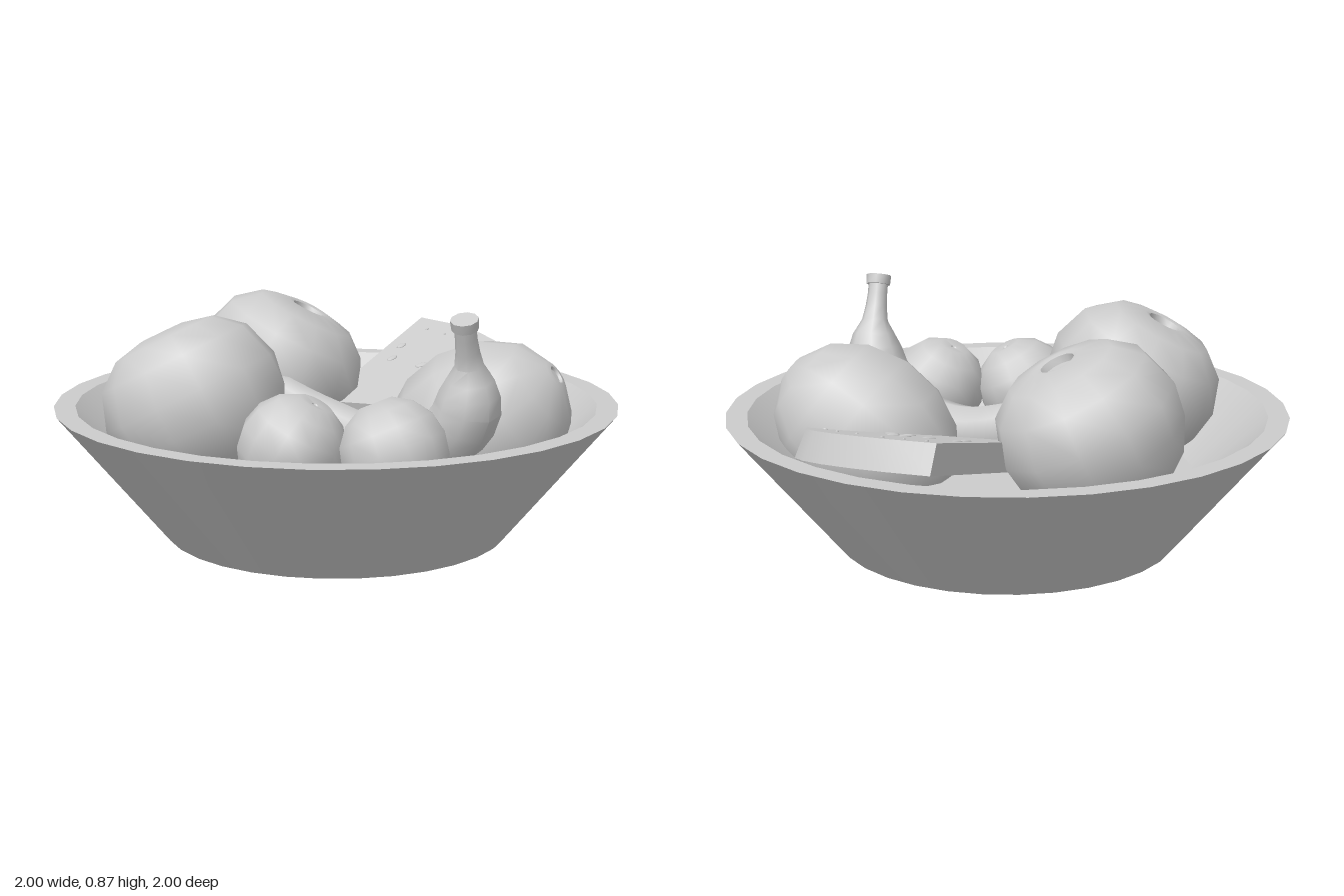
import * as THREE from 'three';
import { toCreasedNormals } from 'three/addons/utils/BufferGeometryUtils.js';

const UP = new THREE.Vector3(0, 1, 0);
const material = new THREE.MeshStandardMaterial({ color: 0xcccccc });

function part(name, geometry, crease = 0.65) {
  const mesh = new THREE.Mesh(crease ? toCreasedNormals(geometry, crease) : geometry, material);
  mesh.name = name;
  return mesh;
}

function lathe(points, sides) {
  return new THREE.LatheGeometry(points.map(([r, y]) => new THREE.Vector2(r, y)), sides);
}

// A lathed fruit of 12 sides whose core points along the axis
function fruit(name, profile, position, axis) {
  const mesh = part(name, lathe(profile, 12), 0.8);
  mesh.position.set(...position);
  mesh.quaternion.setFromUnitVectors(UP, new THREE.Vector3(...axis).normalize());
  return mesh;
}

// Profile of a ball up to the polar angle "open", then the given end
function ball(radius, length, open, end) {
  const points = [];
  const rings = 7;
  for (let i = 0; i <= rings; i++) {
    const a = Math.PI + (open - Math.PI) * (i / rings);
    points.push([Math.max(0, radius * Math.sin(a)), length * Math.cos(a)]);
  }
  const [rimR, rimY] = points[rings];
  for (const [k, dy] of end) points.push([rimR * k, rimY + dy]);
  return points;
}

// Banana: a tube whose rings are scaled by a radius that changes along its length
function banana() {
  const group = new THREE.Group();
  group.name = 'banana';
  const curve = new THREE.CatmullRomCurve3([
    [-0.3, 0.53, 0], [-0.18, 0.46, 0.02], [0, 0.38, 0.05], [0.2, 0.34, 0.13], [0.4, 0.38, 0.25],
    [0.53, 0.5, 0.315], [0.555, 0.62, 0.34], [0.555, 0.7, 0.365], [0.552, 0.77, 0.395], [0.55, 0.838, 0.42],
  ].map((p) => new THREE.Vector3(...p)));
  const radii = [[0, 0.03], [0.08, 0.08], [0.25, 0.097], [0.5, 0.1], [0.7, 0.115],
    [0.79, 0.112], [0.84, 0.085], [0.885, 0.049], [0.94, 0.037], [1, 0.037]];
  const radiusAt = (u) => {
    let i = 1;
    while (i < radii.length - 1 && u > radii[i][0]) i++;
    const [u0, r0] = radii[i - 1], [u1, r1] = radii[i];
    return r0 + (r1 - r0) * (u - u0) / (u1 - u0);
  };
  const steps = 26, sides = 8;
  const body = new THREE.TubeGeometry(curve, steps, 1, sides);
  const pos = body.attributes.position;
  const v = new THREE.Vector3();
  for (let i = 0; i <= steps; i++) {
    const c = curve.getPointAt(i / steps);
    for (let j = 0; j <= sides; j++) {
      const k = i * (sides + 1) + j;
      v.fromBufferAttribute(pos, k).sub(c).multiplyScalar(radiusAt(i / steps)).add(c);
      pos.setXYZ(k, v.x, v.y, v.z);
    }
  }
  group.add(part('bananaBody', body, 0.85));

  // Caps at the stem and the blossom end
  const tip = part('bananaStemCap', new THREE.CylinderGeometry(0.047, 0.045, 0.035, 10));
  tip.position.copy(curve.getPointAt(1));
  tip.quaternion.setFromUnitVectors(UP, curve.getTangentAt(1));
  const blossom = part('bananaBlossomEnd', new THREE.SphereGeometry(0.032, 8, 6));
  blossom.position.copy(curve.getPointAt(0));
  group.add(tip, blossom);
  return group;
}

// Melon slice: a tilted wedge with its tip at the group's origin
function melonSlice() {
  const group = new THREE.Group();
  group.name = 'melonSlice';
  const tipX = -0.12, tipZ = -0.22, tilt = 0.27;
  const radius = 0.785, from = -0.07, to = 1.3, steps = 7, thickness = 0.1;
  const shape = new THREE.Shape();
  shape.moveTo(0, 0);
  for (let i = 0; i <= steps; i++) {
    const a = from + (to - from) * i / steps;
    shape.lineTo(radius * Math.cos(a), radius * Math.sin(a));
  }
  const wedge = new THREE.ExtrudeGeometry(shape, { depth: thickness, bevelEnabled: false });
  wedge.rotateX(-Math.PI / 2).translate(0, -thickness, 0);
  // The rind flares outwards towards the underside
  const pos = wedge.attributes.position;
  for (let i = 0; i < pos.count; i++) {
    const flare = 1 - 0.4 * pos.getY(i);
    pos.setX(i, pos.getX(i) * flare);
    pos.setZ(i, pos.getZ(i) * flare);
  }
  group.add(part('melonWedge', wedge, 0.4));

  // Seeds lie on the top face and point at the tip: x, z and half length
  const seeds = [
    [0.07, -0.69, 0.026], [0.06, -0.58, 0.026], [0.19, -0.53, 0.028], [0.27, -0.54, 0.026],
    [0.32, -0.48, 0.026], [0.28, -0.41, 0.024], [0.35, -0.36, 0.026], [0.14, -0.84, 0.009],
    [0.22, -0.8, 0.006], [0.3, -0.75, 0.009], [0.41, -0.63, 0.006], [0.5, -0.53, 0.006], [0.58, -0.37, 0.009],
  ];
  for (const [x, z, size] of seeds) {
    const seed = part('melonSeed', new THREE.SphereGeometry(1, 10, 6), 0);
    const dx = x - tipX, dz = (z - tipZ) / Math.cos(tilt);
    seed.scale.set(size, 0.005, size * 0.55);
    seed.position.set(dx, 0, dz);
    seed.rotation.y = Math.atan2(-dz, dx);
    group.add(seed);
  }
  group.position.set(tipX, 0.412, tipZ);
  group.rotation.set(tilt, 0, 0.03);
  return group;
}

export function createModel() {
  const model = new THREE.Group();
  model.name = 'fruitBowl';

  // Bowl with a flat rim and a flat, raised floor
  model.add(part('bowl', lathe([[0, 0], [0.615, 0], [1, 0.47], [0.925, 0.47], [0.67, 0.24], [0, 0.24]], 32), 0.5));

  // Two large fruits: broad shoulders, a narrower base and a sunken eye
  const large = [[0, -0.28], [0.16, -0.25], [0.25, -0.18], [0.308, -0.06], [0.325, 0.06], [0.28, 0.19],
    [0.19, 0.265], [0.08, 0.29], [0.062, 0.285], [0.056, 0.26], [0, 0.26]];
  model.add(fruit('largeFruitBack', large, [-0.338, 0.48, -0.33], [0.43, 0.89, -0.12]));
  model.add(fruit('largeFruitFront', large, [-0.412, 0.48, 0.3], [-0.45, 0.89, 0]));

  // Two small fruits with a shallow dish and a dot in it
  const small = ball(0.184, 0.185, 0.32, [[0.2, -0.006], [0.15, -0.01], [0, -0.01]]);
  model.add(fruit('smallFruitMiddle', small, [0, 0.415, 0.53], [0.45, 0.88, -0.06]));
  model.add(fruit('smallFruitSide', small, [0.34, 0.415, 0.495], [-0.4, 0.9, -0.1]));

  // Oval fruit lying on its side, with a small scar at the raised end
  const oval = ball(0.295, 0.358, 0.19, [[0.6, 0.003], [0.5, -0.006], [0, -0.006]]);
  model.add(fruit('ovalFruit', oval, [0.5, 0.385, -0.065], [0.8, 0.6, 0.08]));

  model.add(banana(), melonSlice());
  return model;
}
